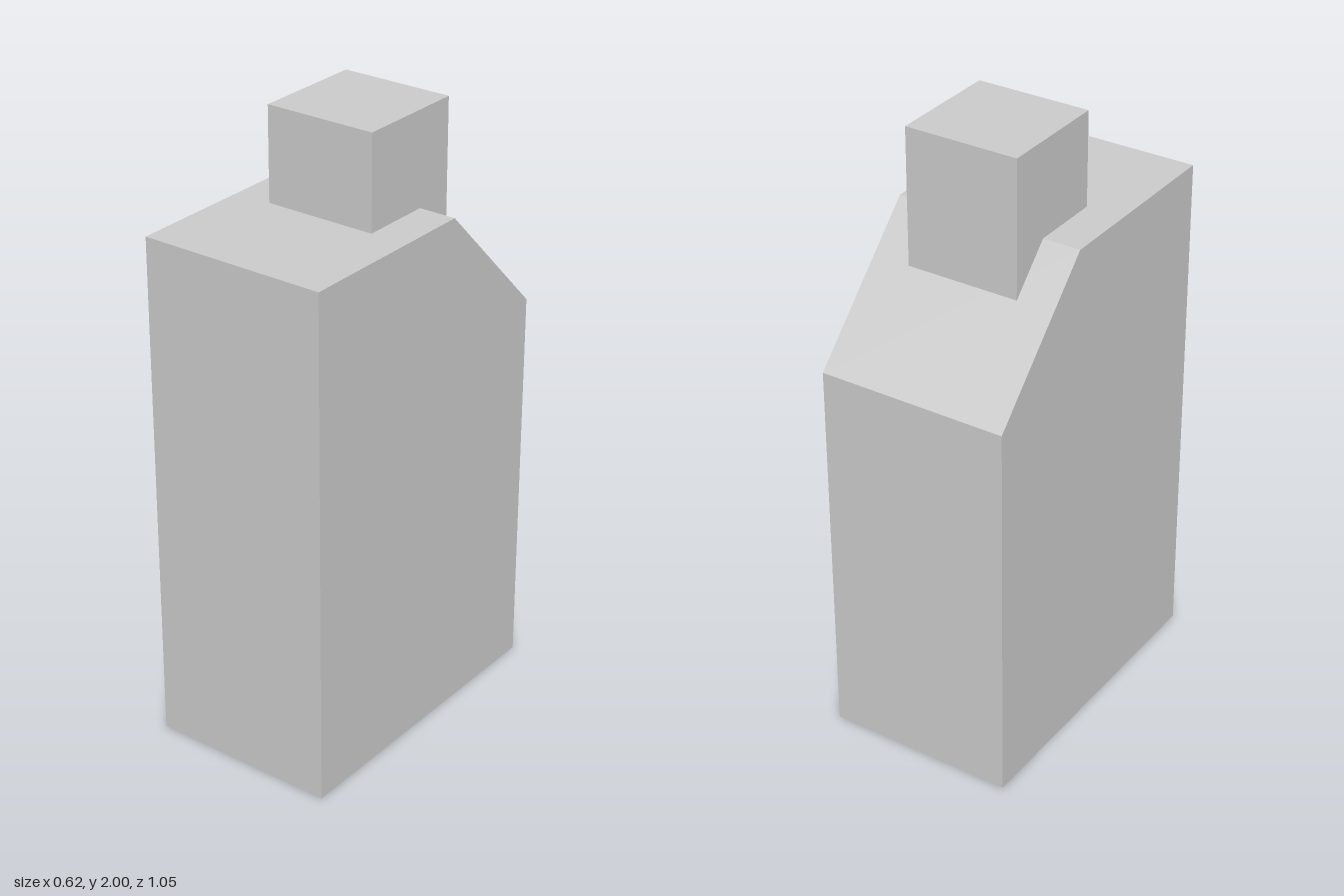
import * as THREE from 'three';

export function createModel() {
  const group = new THREE.Group();
  const material = new THREE.MeshStandardMaterial({ color: 0xcccccc, flatShading: true });
  const width = 0.624, halfDepth = 0.523, shoulderY = 1.693;

  // Body: side profile (z, y) with a sloped rear shoulder, extruded across x
  const profile = new THREE.Shape([
    [-halfDepth, 0], [halfDepth, 0], [halfDepth, shoulderY],
    [-0.12, shoulderY], [-halfDepth, 1.285],
  ].map(([z, y]) => new THREE.Vector2(z, y)));
  const bodyGeometry = new THREE.ExtrudeGeometry(profile, { depth: width, bevelEnabled: false });
  bodyGeometry.translate(0, 0, -width / 2).rotateY(-Math.PI / 2);
  const body = new THREE.Mesh(bodyGeometry, material);
  body.name = 'body';

  // Cap: square block sunk into the shoulder and slope
  const capBottom = 1.55, capTop = 2;
  const cap = new THREE.Mesh(new THREE.BoxGeometry(0.375, capTop - capBottom, 0.373), material);
  cap.position.set(0, (capTop + capBottom) / 2, -0.07);
  cap.name = 'cap';

  group.add(body, cap);
  return group;
}
